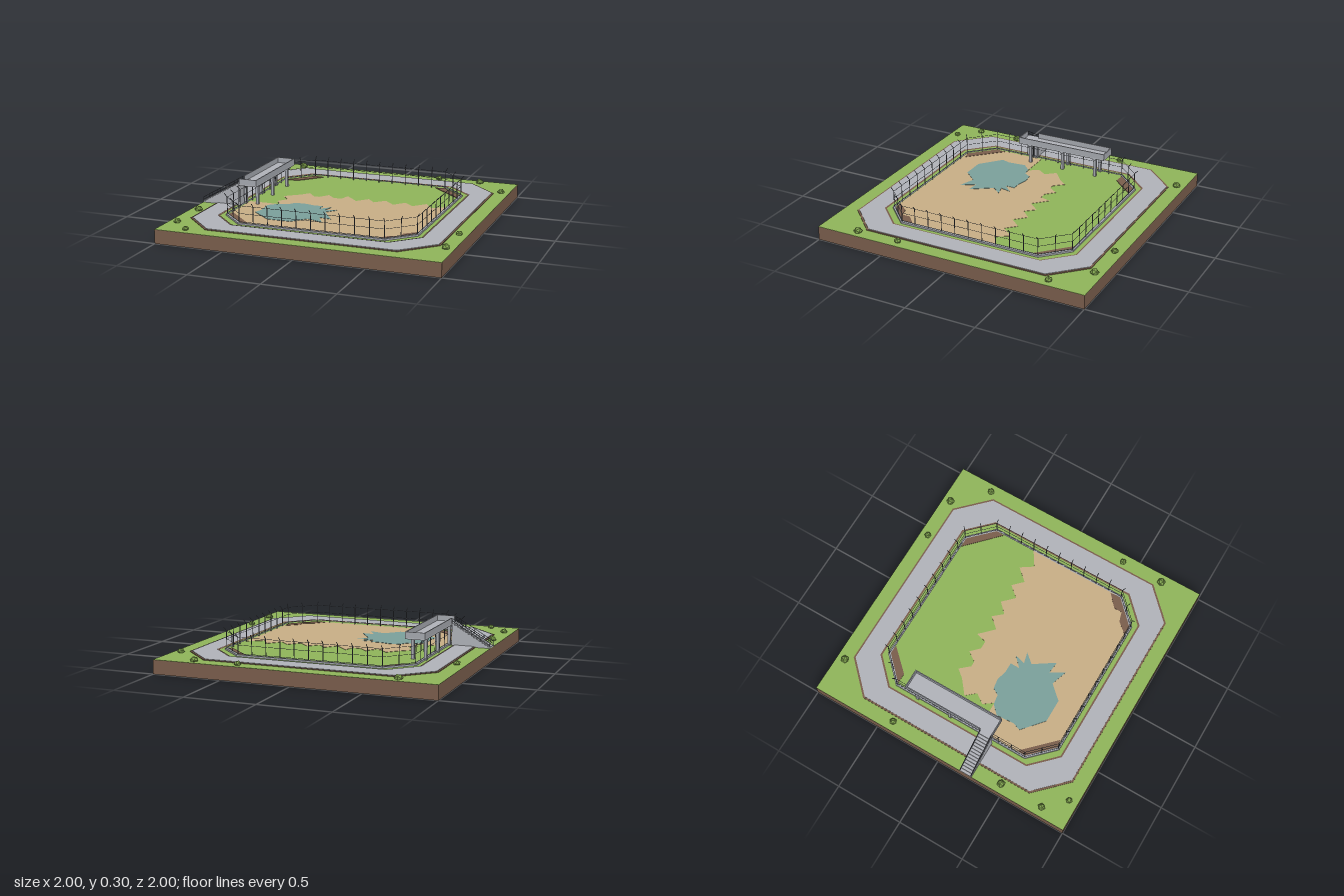
import * as THREE from 'three';

const mat = (name, color, extra = {}) => new THREE.MeshStandardMaterial({ name, color, ...extra });

export function createModel() {
  const root = new THREE.Group();
  root.name = 'paddock';
  const grass = mat('grass green', 0x8fb55a);
  const earth = mat('earth brown', 0x7a5e4c);
  const paving = mat('paving grey', 0xb0b3b9);
  const sand = mat('sand', 0xc8ae86);
  const water = mat('water', 0x7ba09b);
  const metal = mat('dark metal', 0x5d6168);
  const concrete = mat('concrete grey', 0xa6a9b0);
  const leaf = mat('bush green', 0x7d9f4c, { flatShading: true });

  const add = (parent, name, geo, material) => {
    const m = new THREE.Mesh(geo, material);
    m.name = name;
    parent.add(m);
    return m;
  };
  const group = (name) => {
    const g = new THREE.Group();
    g.name = name;
    root.add(g);
    return g;
  };
  const box = (parent, name, x0, x1, y0, y1, z0, z1, material) => {
    const g = new THREE.BoxGeometry(x1 - x0, y1 - y0, z1 - z0);
    g.translate((x0 + x1) / 2, (y0 + y1) / 2, (z0 + z1) / 2);
    return add(parent, name, g, material);
  };
  // Horizontal slab from an x/z outline, with an optional hole
  const slab = (parent, name, pts, y0, y1, material, hole) => {
    const flat = (list) => list.map(([x, z]) => new THREE.Vector2(x, -z));
    const s = new THREE.Shape(flat(pts));
    if (hole) s.holes.push(new THREE.Path(flat(hole)));
    const g = new THREE.ExtrudeGeometry(s, { depth: y1 - y0, bevelEnabled: false });
    g.rotateX(-Math.PI / 2).translate(0, y0, 0);
    return add(parent, name, g, material);
  };
  // Round bar between two points
  const bar = (parent, name, a, b, r, material) => {
    const p = new THREE.Vector3(...a), q = new THREE.Vector3(...b);
    const d = q.clone().sub(p);
    const m = add(parent, name, new THREE.CylinderGeometry(r, r, d.length(), 6), material);
    m.position.copy(p).add(q).multiplyScalar(0.5);
    m.quaternion.setFromUnitVectors(new THREE.Vector3(0, 1, 0), d.normalize());
  };
  const octagon = (a, b) => [[b, -a], [a, -b], [a, b], [b, a], [-b, a], [-a, b], [-a, -b], [-b, -a]];

  // Ground block and turf
  const ground = group('ground');
  box(ground, 'earthBlock', -1, 1, 0, 0.098, -1, 1, earth);
  box(ground, 'turf', -1, 1, 0.098, 0.1, -1, 1, grass);

  // Ring path with earth edging
  slab(ground, 'pathEdging', octagon(0.895, 0.675), 0.1, 0.104, earth, octagon(0.73, 0.556));
  slab(ground, 'path', octagon(0.883, 0.668), 0.1, 0.107, paving, octagon(0.742, 0.562));

  // Sand, pond and bare corners
  slab(ground, 'sand', [
    [-0.69, 0.14], [-0.46, 0.14], [-0.51, 0.07], [-0.46, 0], [-0.52, -0.07], [-0.42, -0.15],
    [-0.37, -0.21], [-0.31, -0.14], [-0.27, -0.14], [-0.22, -0.21], [-0.16, -0.15], [-0.1, -0.15],
    [-0.08, -0.23], [0.02, -0.13], [0.09, -0.21], [0.15, -0.14], [0.22, -0.21], [0.3, -0.13],
    [0.37, -0.21], [0.44, -0.14], [0.52, -0.23], [0.58, -0.14], [0.69, -0.21],
    [0.69, 0.52], [0.52, 0.69], [-0.52, 0.69], [-0.69, 0.52],
  ], 0.1, 0.102, sand);
  slab(ground, 'pond', [
    [-0.53, 0.2], [-0.47, 0.14], [-0.4, 0.13], [-0.37, 0.08], [-0.3, 0.07], [-0.22, 0.09],
    [-0.15, 0.09], [-0.15, 0.16], [-0.08, 0.09], [-0.1, 0.17], [-0.02, 0.15], [-0.08, 0.22],
    [0.02, 0.37], [-0.07, 0.36], [-0.01, 0.46], [-0.13, 0.42], [-0.22, 0.52], [-0.39, 0.52],
    [-0.46, 0.46], [-0.54, 0.39], [-0.52, 0.33],
  ], 0.102, 0.104, water);
  const corners = [
    [[-0.69, -0.52], [-0.6, -0.52], [-0.45, -0.68], [-0.52, -0.69]],
    [[0.45, -0.68], [0.52, -0.69], [0.69, -0.52], [0.68, -0.46]],
    [[0.68, 0.44], [0.69, 0.52], [0.52, 0.69], [0.45, 0.68], [0.52, 0.6], [0.59, 0.58], [0.59, 0.52]],
    [[-0.69, 0.52], [-0.68, 0.45], [-0.46, 0.67], [-0.52, 0.69]],
  ];
  corners.forEach((c) => slab(ground, 'bareCorner', c, 0.1, 0.104, earth));

  // Fence: kerb, wires and posts with outward-leaning tips
  const fence = group('fence');
  slab(fence, 'kerb', octagon(0.7, 0.525), 0.1, 0.112, concrete, octagon(0.682, 0.517));
  const ring = octagon(0.69, 0.52);
  ring.forEach(([x0, z0], i) => {
    const [x1, z1] = ring[(i + 1) % 8];
    const straight = x0 === x1 || z0 === z1;
    const n = straight ? 10 : 2;
    const len = Math.hypot(x1 - x0, z1 - z0);
    const out = [(z1 - z0) / len * 0.022, -(x1 - x0) / len * 0.022];
    for (const y of [0.118, 0.176, 0.23])
      bar(fence, 'fenceWire', [x0, y, z0], [x1, y, z1], 0.0015, metal);
    for (let k = 0; k < n; k++) {
      const x = x0 + (x1 - x0) * k / n, z = z0 + (z1 - z0) * k / n;
      bar(fence, 'fencePost', [x, 0.1, z], [x, 0.232, z], 0.003, metal);
      bar(fence, 'fencePostTip', [x, 0.232, z], [x + out[0], 0.255, z + out[1]], 0.0025, metal);
    }
  });

  // Raised viewing platform with parapets
  const deck = group('viewingPlatform');
  box(deck, 'deck', -0.72, -0.58, 0.248, 0.258, -0.42, 0.275, paving);
  box(deck, 'innerParapet', -0.587, -0.58, 0.258, 0.298, -0.42, 0.275, concrete);
  box(deck, 'outerParapet', -0.72, -0.713, 0.258, 0.298, -0.42, 0.18, concrete);
  for (const z of [-0.42, 0.268]) box(deck, 'endParapet', -0.713, -0.587, 0.258, 0.298, z, z + 0.007, concrete);
  for (const z of [-0.34, -0.075, 0.19]) {
    for (const x of [-0.7, -0.61]) box(deck, 'pillar', x - 0.01, x + 0.01, 0.1, 0.24, z - 0.01, z + 0.01, concrete);
    box(deck, 'crossBeam', -0.715, -0.585, 0.236, 0.248, z - 0.012, z + 0.012, concrete);
  }

  // Solid stair with stepped profile
  const stair = group('stair');
  const steps = 14, run = 0.28 / steps, rise = 0.158 / steps;
  const profile = new THREE.Shape().moveTo(-1, 0.1);
  for (let i = 0; i < steps; i++) {
    profile.lineTo(-1 + i * run, 0.1 + (i + 1) * rise);
    profile.lineTo(-1 + (i + 1) * run, 0.1 + (i + 1) * rise);
  }
  profile.lineTo(-0.72, 0.1);
  const stairGeo = new THREE.ExtrudeGeometry(profile, { depth: 0.095, bevelEnabled: false });
  add(stair, 'steps', stairGeo.translate(0, 0, 0.18), paving);
  for (const z of [0.184, 0.271]) {
    for (const h of [0.02, 0.038])
      bar(stair, 'handrail', [-0.997, 0.1 + h, z], [-0.72, 0.258 + h, z], 0.002, metal);
    for (let i = 0; i < 5; i++) {
      const x = -0.997 + i * 0.068, y = 0.1 + i * 0.0388;
      bar(stair, 'railPost', [x, y, z], [x, y + 0.038, z], 0.002, metal);
    }
  }

  // Faceted bushes: x, z, radius
  const bushes = group('bushes');
  [
    [-0.72, -0.94, 0.03], [0.4, -0.94, 0.026], [0.72, -0.94, 0.03], [0.94, -0.72, 0.027],
    [-0.935, -0.4, 0.026], [0.94, 0.4, 0.025], [0.94, 0.715, 0.031], [-0.935, 0.475, 0.03],
    [-0.935, 0.795, 0.027], [-0.8, 0.935, 0.023],
  ].forEach(([x, z, r], i) => {
    const b = add(bushes, 'bush', new THREE.IcosahedronGeometry(r, 0), leaf);
    b.position.set(x, 0.108, z);
    b.rotation.y = i * 1.3;
    b.scale.y = 0.85;
  });
  return root;
}
